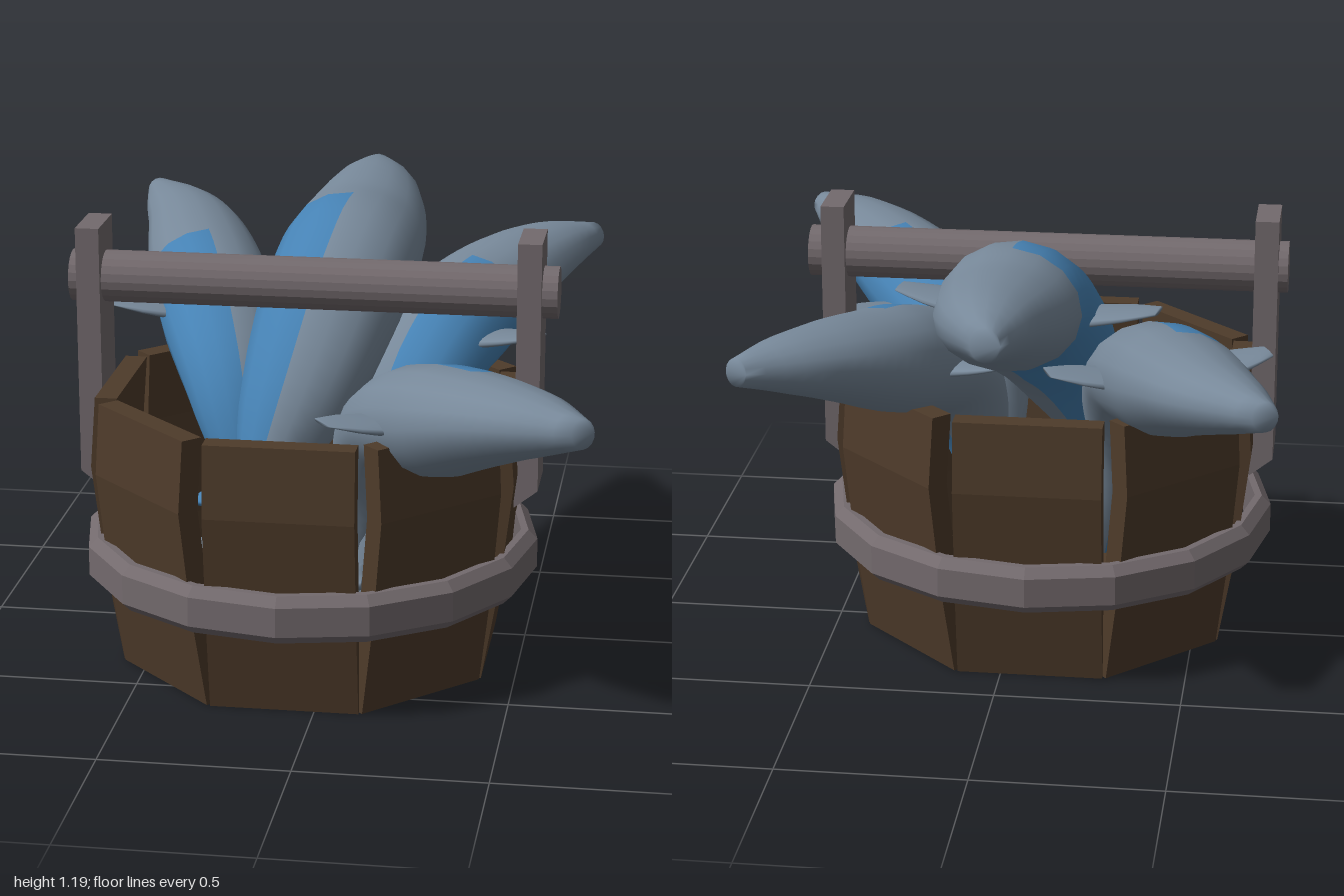
import * as THREE from 'three';

const mat = (name, color, flatShading = false, side = THREE.FrontSide) => {
  const m = new THREE.MeshStandardMaterial({ color, flatShading, side });
  m.name = name;
  return m;
};
const add = (parent, name, geometry, material) => {
  const mesh = new THREE.Mesh(geometry, material);
  mesh.name = name;
  parent.add(mesh);
  return mesh;
};
const curve = points => new THREE.CatmullRomCurve3(points.map(p => new THREE.Vector3(...p)));
const shape = points => new THREE.Shape(points.map(p => new THREE.Vector2(...p)));

// Loft of ellipses along a path; widths and heights are spread evenly over its length.
// One flank (+1 left, -1 right) is blue up to the fraction blueEnd.
const N = 16;
function loft(path, widths, heights, M, blueEnd = 0, flank = 1) {
  const size = curve(widths.map((w, i) => [w, heights[i], 0]));
  const side = sideOf(path), pos = [], skinIdx = [], blueIdx = [];
  for (let j = 0; j <= M; j++) {
    const p = path.getPointAt(j / M), s = size.getPoint(j / M);
    const up = path.getTangentAt(j / M).cross(side).normalize();
    for (let i = 0; i < N; i++) {
      const t = i / N * Math.PI * 2;
      const v = p.clone().addScaledVector(side, Math.cos(t) * s.x).addScaledVector(up, Math.sin(t) * s.y);
      pos.push(v.x, v.y, v.z);
    }
  }
  for (let j = 0; j < M; j++) for (let i = 0; i < N; i++) {
    const a = j * N + i, b = j * N + (i + 1) % N, d = a + N, e = b + N;
    const isBlue = j / M < blueEnd && Math.cos((i + 0.5) / N * Math.PI * 2) * flank > 0;
    (isBlue ? blueIdx : skinIdx).push(a, b, d, b, e, d);
  }
  // End caps
  for (let i = 1; i < N - 1; i++) skinIdx.push(0, i + 1, i, M * N, M * N + i, M * N + i + 1);
  const g = new THREE.BufferGeometry();
  g.setAttribute('position', new THREE.Float32BufferAttribute(pos, 3));
  g.setIndex([...skinIdx, ...blueIdx]);
  g.addGroup(0, skinIdx.length, 0);
  g.addGroup(skinIdx.length, blueIdx.length, 1);
  g.computeVertexNormals();
  return g;
}

// Level direction to the left of a path's overall heading
function sideOf(path) {
  const h = path.getPoint(1).sub(path.getPoint(0));
  return new THREE.Vector3(h.z, 0, -h.x).normalize();
}

export function createModel() {
  const wood = mat('dark wood', 0x4e3b2a, true);
  const metal = mat('iron', 0x736a6d, true);
  const skin = mat('fish grey', 0x778899, false, THREE.DoubleSide);
  const blue = mat('fish blue', 0x4682b4, false, THREE.DoubleSide);

  const model = new THREE.Group();
  model.name = 'bucketOfFish';
  const bucket = new THREE.Group();
  bucket.name = 'bucket';
  bucket.position.set(-0.08, 0, 0.13);
  model.add(bucket);

  // Bulging staves: [height, outer distance from the centre]
  const profile = [[0, 0.49], [0.26, 0.535], [0.55, 0.57], [0.745, 0.555]];
  const stave = new THREE.BoxGeometry(0.395, 3, 0.06, 1, 3, 1);
  const sp = stave.attributes.position;
  for (let i = 0; i < sp.count; i++) {
    const [y, r] = profile[Math.round(sp.getY(i) + 1.5)];
    sp.setY(i, y);
    sp.setZ(i, sp.getZ(i) + r - 0.03);
  }
  for (let i = 0; i < 8; i++) add(bucket, 'stave', stave, wood).rotation.y = i * Math.PI / 4;

  // Floor planks, cut to the octagon
  const R = 0.45, c = R * (Math.SQRT2 - 1), gap = 0.004;
  const reach = x => Math.min(R, R * Math.SQRT2 - Math.abs(x));
  for (const [a, b] of [[-R, -c], [-c, 0], [0, c], [c, R]]) {
    const l = a + gap, r = b - gap;
    const plank = shape([[l, -reach(l)], [r, -reach(r)], [r, reach(r)], [l, reach(l)]]);
    const g = new THREE.ExtrudeGeometry(plank, { depth: 0.04, bevelEnabled: false });
    add(bucket, 'floorPlank', g.rotateX(-Math.PI / 2).translate(0, 0.03, 0), wood);
  }

  // Chamfered hoop
  const hoop = shape([[0.575, 0.23], [0.595, 0.23], [0.62, 0.255], [0.62, 0.335], [0.595, 0.36], [0.575, 0.36], [0.575, 0.23]]);
  add(bucket, 'hoop', new THREE.LatheGeometry(hoop.getPoints(), 16), metal);

  // Handle posts with a slanted foot, and the bar through them
  for (const s of [-1, 1]) {
    const post = shape([[s * 0.56, 0.45], [s * 0.624, 0.5], [s * 0.624, 1.18], [s * 0.56, 1.18]]);
    const g = new THREE.ExtrudeGeometry(post, { depth: 0.17, bevelEnabled: false });
    add(bucket, 'handlePost', g.translate(0, 0, -0.085), metal);
  }
  const bar = new THREE.CylinderGeometry(0.07, 0.07, 1.315, 20);
  add(bucket, 'handleBar', bar.rotateZ(Math.PI / 2).translate(0.0075, 1.03, 0), metal);

  // Shared fish taper from tail to nose, and fin taper from root to tip
  const bodyWidth = [0.6, 0.38, 0.45, 0.72, 0.9, 0.99, 1, 0.96, 0.83, 0.6, 0.2];
  const bodyHeight = [0.18, 0.35, 0.45, 0.6, 0.72, 0.84, 0.86, 0.76, 0.62, 0.45, 0.22];
  const finWidth = [0.06, 0.075, 0.085, 0.075, 0.04];
  const finHeight = [0.03, 0.025, 0.02, 0.014, 0.006];

  function fishBody(parent, points, size, blueEnd, flank) {
    const path = curve(points), scaled = list => list.map(v => v * size);
    add(parent, 'fishBody', loft(path, scaled(bodyWidth), scaled(bodyHeight), 36, blueEnd, flank), [skin, blue]);
    return path;
  }

  function makeFish(name, size, blueEnd, flank, points) {
    const group = new THREE.Group();
    group.name = name;
    model.add(group);
    const path = fishBody(group, points, size, blueEnd, flank);
    // A pair of raised side fins
    const root = path.getPointAt(0.54);
    root.y -= 0.02;
    for (const s of [-1, 1]) {
      const tip = root.clone().addScaledVector(sideOf(path), s * size * 1.8);
      tip.y += 0.06;
      const fin = new THREE.LineCurve3(root, tip);
      add(group, 'fin', loft(fin, finWidth, finHeight, 8), [skin, blue]);
    }
  }

  makeFish('frontFish', 0.17, 0.7, 1, [[0.02, 0.15, 0.1], [0.08, 0.45, 0.18], [0.15, 0.68, 0.29],
    [0.36, 0.81, 0.59], [0.55, 0.885, 0.82], [0.71, 0.915, 0.975]]);
  makeFish('middleFish', 0.202, 0.66, 1, [[-0.26, 0.2, 0.36], [-0.2, 0.45, 0.29], [-0.1, 0.76, 0.12],
    [-0.03, 0.99, -0.18], [-0.015, 1.04, -0.42], [-0.01, 1.095, -0.68], [-0.03, 1.115, -0.87]]);
  makeFish('leftBackFish', 0.17, 0.66, 1, [[-0.22, 0.15, 0.2], [-0.26, 0.5, 0.15], [-0.32, 0.73, 0],
    [-0.49, 0.9, -0.5], [-0.59, 0.965, -0.77], [-0.72, 1, -0.98]]);
  makeFish('rightBackFish', 0.17, 0.64, -1, [[0.1, 0.15, 0.2], [0.13, 0.5, 0.13], [0.19, 0.74, 0],
    [0.36, 0.9, -0.4], [0.5, 0.955, -0.61], [0.62, 0.97, -0.735]]);

  // Fish lying in the bucket, with a blue tail fan above it
  fishBody(model, [[0.1, 0.28, 0.34], [-0.18, 0.25, 0.38], [-0.5, 0.3, 0.3]], 0.13, 0, 1);
  const tail = curve([[-0.2, 0.48, 0.28], [-0.25, 0.5, 0.34], [-0.27, 0.48, 0.42]]);
  add(model, 'tailFan', loft(tail, [0.05, 0.08, 0.13], [0.03, 0.02, 0.01], 8), [blue, blue]);
  return model;
}
